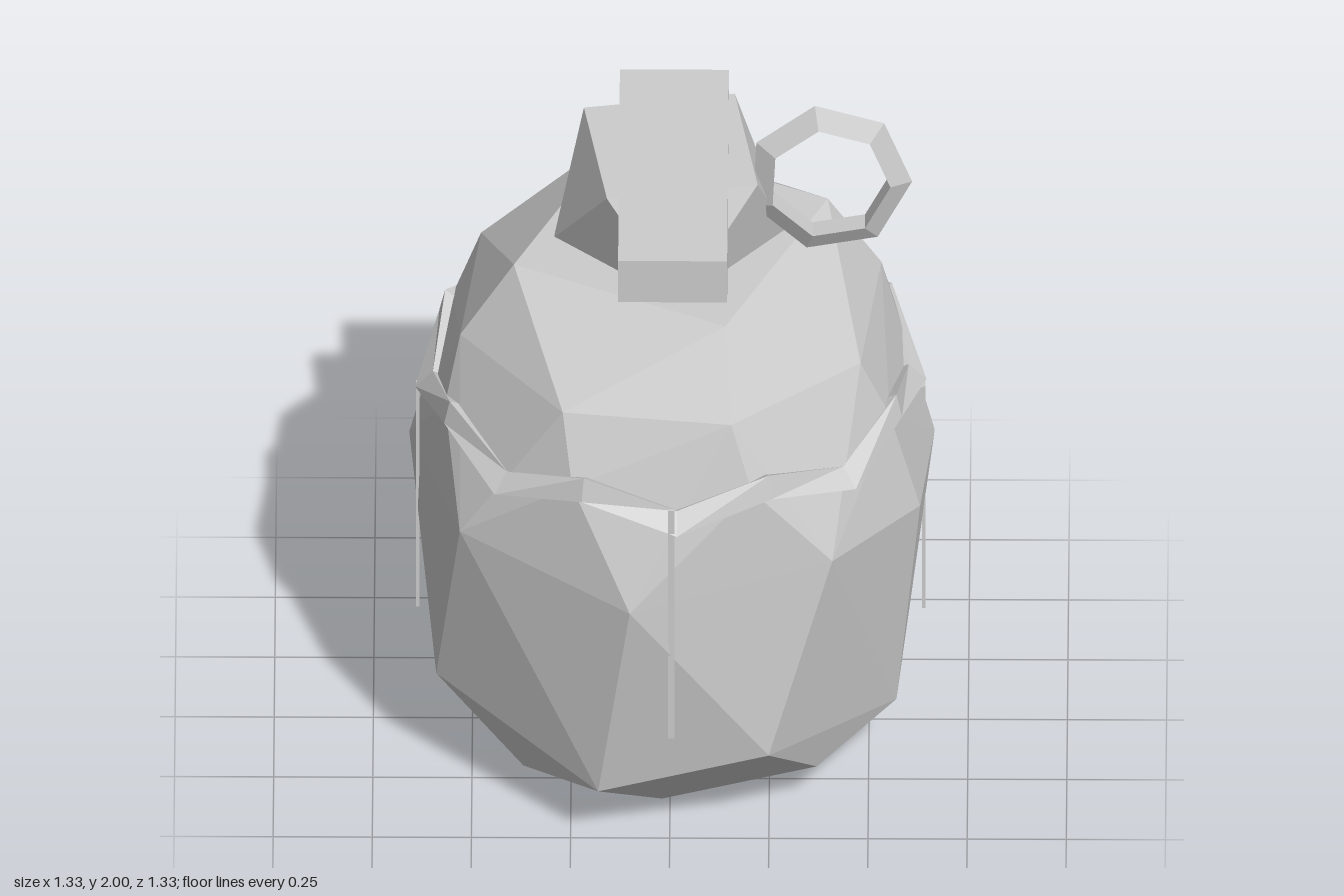
import * as THREE from 'three';
import { ConvexGeometry } from 'three/addons/geometries/ConvexGeometry.js';

export function createModel() {
  const group = new THREE.Group();
  const metal = new THREE.MeshStandardMaterial({ color: 0xcccccc, flatShading: true });
  metal.name = 'plainGrey';

  function add(name, geometry, x = 0, y = 0, z = 0) {
    const mesh = new THREE.Mesh(geometry, metal);
    mesh.name = name;
    mesh.position.set(x, y, z);
    group.add(mesh);
    return mesh;
  }

  // Four corners made by quarter turns of one corner
  function quad(x, y, z) {
    return [[x, z], [z, -x], [-x, -z], [-z, x]].map(([a, b]) => new THREE.Vector3(a, y, b));
  }

  // Faceted egg-shaped body
  const body = [
    ...quad(-0.02, 0, 0.335),
    ...quad(-0.37, 0.13, 0.37),
    ...quad(-0.18, 0.2, 0.57),
    ...quad(0.25, 0.33, 0.59),
    ...quad(0.41, 0.9, 0.53),
    ...quad(-0.246, 1.15, 0.553),
    ...quad(0.207, 1.15, 0.568),
    ...quad(-0.27, 1.33, 0.48),
    ...quad(0.155, 1.33, 0.53),
    ...quad(0.14, 1.54, 0.395),
    // widest points; the left side has two
    new THREE.Vector3(-0.1, 0.83, 0.66),
    new THREE.Vector3(-0.66, 0.83, -0.1),
    new THREE.Vector3(0.11, 0.83, -0.665),
    new THREE.Vector3(0.63, 0.85, 0.23),
    new THREE.Vector3(0.665, 0.86, -0.075),
  ];
  add('body', new ConvexGeometry(body));

  // Zigzag band: a triangular section swept round, alternating low and high
  const low = [[0.6, 1.11], [0.645, 1.062], [0.54, 1.08]];
  const high = [[0.61, 1.19], [0.625, 1.125], [0.54, 1.15]];
  const count = 16, pos = [], index = [];
  for (let i = 0; i < count; i++) {
    const a = (i / count) * Math.PI * 2 + 0.03;
    for (const [r, y] of i % 2 ? high : low) pos.push(Math.sin(a) * r, y, Math.cos(a) * r);
    for (let k = 0; k < 3; k++) {
      const n = ((i + 1) % count) * 3, m = (k + 1) % 3;
      index.push(i * 3 + k, i * 3 + m, n + k, i * 3 + m, n + m, n + k);
    }
  }
  const band = new THREE.BufferGeometry();
  band.setAttribute('position', new THREE.Float32BufferAttribute(pos, 3));
  band.setIndex(index);
  band.computeVertexNormals();
  add('zigzagBand', band);

  // Thin upright ribs on the four sides
  for (const s of [-1, 1]) {
    add('sideRib', new THREE.BoxGeometry(0.009, 0.7, 0.022), s * 0.638, 0.71, 0);
    add('endRib', new THREE.BoxGeometry(0.016, 0.72, 0.009), 0.005, 0.78, s * 0.635);
  }

  // Twisted neck
  add('neck', new ConvexGeometry([
    ...quad(0.02, 1.535, 0.295),
    ...quad(0.22, 1.81, 0.16),
  ]));

  // Top lever and the plate behind it
  add('lever', new THREE.BoxGeometry(0.275, 0.13, 0.8), 0.0075, 1.775, 0.12);
  add('backPlate', new THREE.BoxGeometry(0.21, 0.27, 0.19), 0.005, 1.67, -0.195);

  // Seven-sided ring with a triangular section
  const ringGeo = new THREE.TorusGeometry(0.19, 0.04, 3, 7);
  ringGeo.rotateZ(THREE.MathUtils.degToRad(100));
  ringGeo.scale(0.91, 1, 0.85);
  add('pullRing', ringGeo, 0.4, 1.773, 0.08);

  return group;
}
